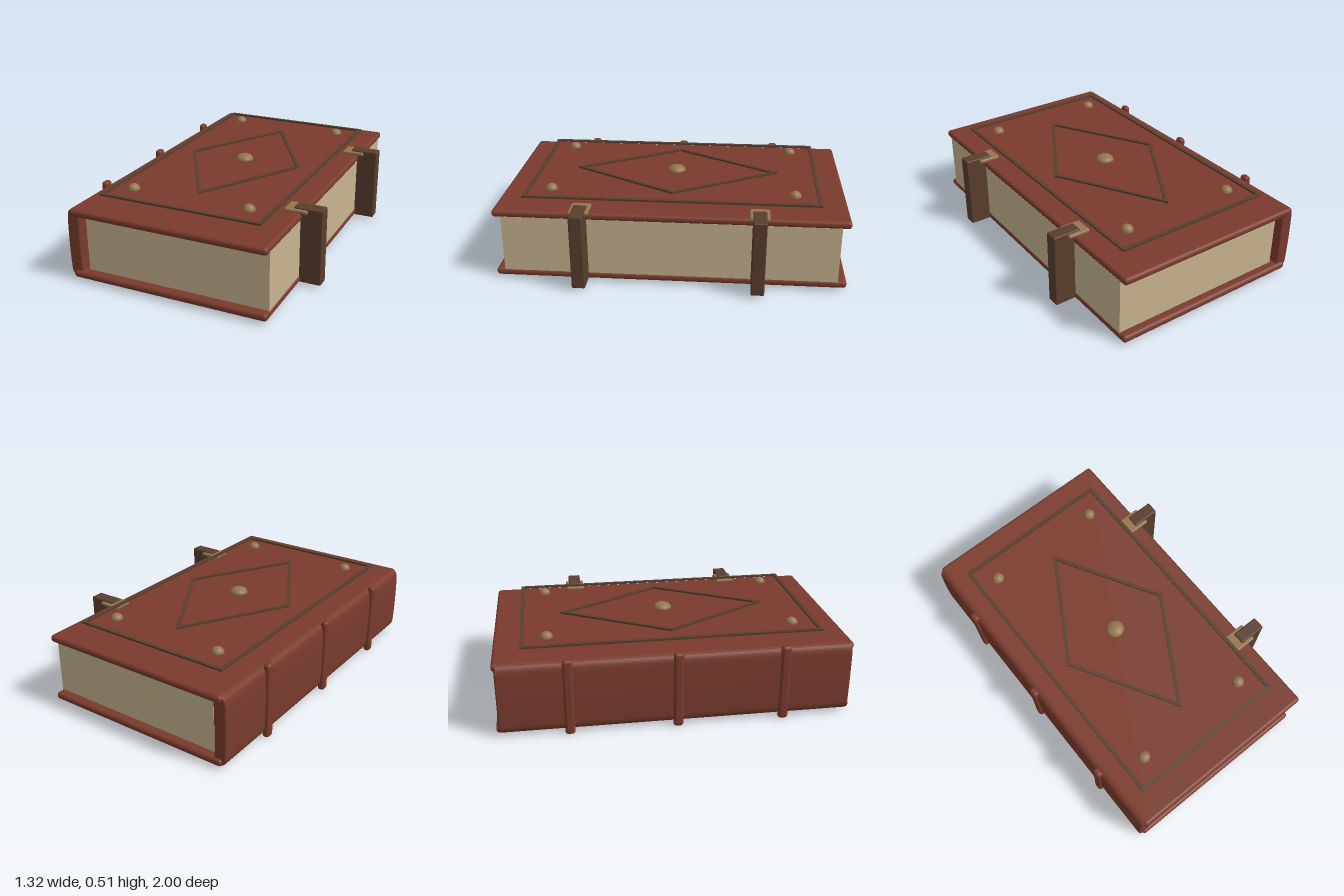
import * as THREE from 'three';
import { RoundedBoxGeometry } from 'three/addons/geometries/RoundedBoxGeometry.js';

const material = (name, color) => {
  const m = new THREE.MeshStandardMaterial({ color });
  m.name = name;
  return m;
};

export function createModel() {
  const book = new THREE.Group();
  book.name = 'book';
  const leather = material('red leather', 0x7a3b2d);
  const paper = material('aged paper', 0xc8b48f);
  const strapLeather = material('dark leather', 0x593e2d);
  const brass = material('dull brass', 0x95754f);

  const add = (name, geometry, mat, x = 0, y = 0, z = 0) => {
    const mesh = new THREE.Mesh(geometry, mat);
    mesh.name = name;
    mesh.position.set(x, y, z);
    book.add(mesh);
    return mesh;
  };
  // Box given by its extents in x and y, its depth, edge radius and z centre
  const block = (name, mat, [x0, x1], [y0, y1], depth, radius, z = 0) => {
    const w = x1 - x0, h = y1 - y0;
    const geometry = radius
      ? new RoundedBoxGeometry(w, h, depth, 4, radius)
      : new THREE.BoxGeometry(w, h, depth);
    return add(name, geometry, mat, (x0 + x1) / 2, (y0 + y1) / 2, z);
  };

  // Covers and page block
  block('frontCover', leather, [-0.62, 0.54], [0.39, 0.433], 2, 0.019);
  block('backCover', leather, [-0.62, 0.54], [0.022, 0.065], 2, 0.019);
  block('pages', paper, [-0.545, 0.535], [0.06, 0.395], 1.9, 0);

  // Spine: bowed outer face, hollow inner face, softened ends
  const profile = new THREE.Shape();
  profile.moveTo(-0.575, 0.034);
  profile.lineTo(-0.605, 0.034);
  profile.quadraticCurveTo(-0.63, 0.036, -0.632, 0.08);
  profile.quadraticCurveTo(-0.638, 0.2275, -0.632, 0.375);
  profile.quadraticCurveTo(-0.63, 0.419, -0.605, 0.421);
  profile.lineTo(-0.575, 0.421);
  profile.quadraticCurveTo(-0.582, 0.2275, -0.575, 0.034);
  const spine = new THREE.ExtrudeGeometry(profile, {
    depth: 1.95, bevelThickness: 0.01, bevelSize: 0.01, bevelSegments: 3, curveSegments: 10,
  });
  add('spine', spine, leather, 0, 0, -0.975);

  // Raised bands across the spine
  for (const z of [-0.6, 0, 0.6]) {
    block('spineBand', leather, [-0.662, -0.62], [0.005, 0.45], 0.056, 0.018, z);
  }

  // Straps with brass clasps on the fore edge
  for (const z of [-0.5, 0.5]) {
    block('strap', strapLeather, [0.495, 0.66], [0.024, 0.466], 0.076, 0.008, z);
    block('clasp', brass, [0.445, 0.575], [0.436, 0.457], 0.112, 0.008, z);
  }

  // Raised ornament: rectangular frame and diamond
  const outline = (name, outer, inner) => {
    const shape = new THREE.Shape(outer.map(p => new THREE.Vector2(...p)));
    shape.holes.push(new THREE.Path(inner.map(p => new THREE.Vector2(...p)).reverse()));
    const geometry = new THREE.ExtrudeGeometry(shape, { depth: 0.011, bevelEnabled: false });
    geometry.rotateX(-Math.PI / 2);
    add(name, geometry, strapLeather, -0.04, 0.472, 0);
  };
  const rectangle = (a, b) => [[-a, -b], [a, -b], [a, b], [-a, b]];
  const diamond = (a, b) => [[-a, 0], [0, -b], [a, 0], [0, b]];
  outline('coverFrame', rectangle(0.48, 0.847), rectangle(0.459, 0.826));
  outline('coverDiamond', diamond(0.36, 0.612), diamond(0.337, 0.573));

  // Domed studs
  const stud = (x, z, radius) => {
    const dome = new THREE.SphereGeometry(1, 24, 10, 0, Math.PI * 2, 0, Math.PI / 2);
    const base = new THREE.CircleGeometry(1, 24).rotateX(Math.PI / 2);
    for (const [name, g] of [['studDome', dome], ['studBase', base]]) {
      add(name, g, brass, x, 0.479, z).scale.set(radius, 0.032, radius);
    }
  };
  stud(-0.04, 0, 0.053);
  for (const x of [-0.39, 0.31]) for (const z of [-0.7, 0.7]) stud(x, z, 0.035);

  return book;
}
